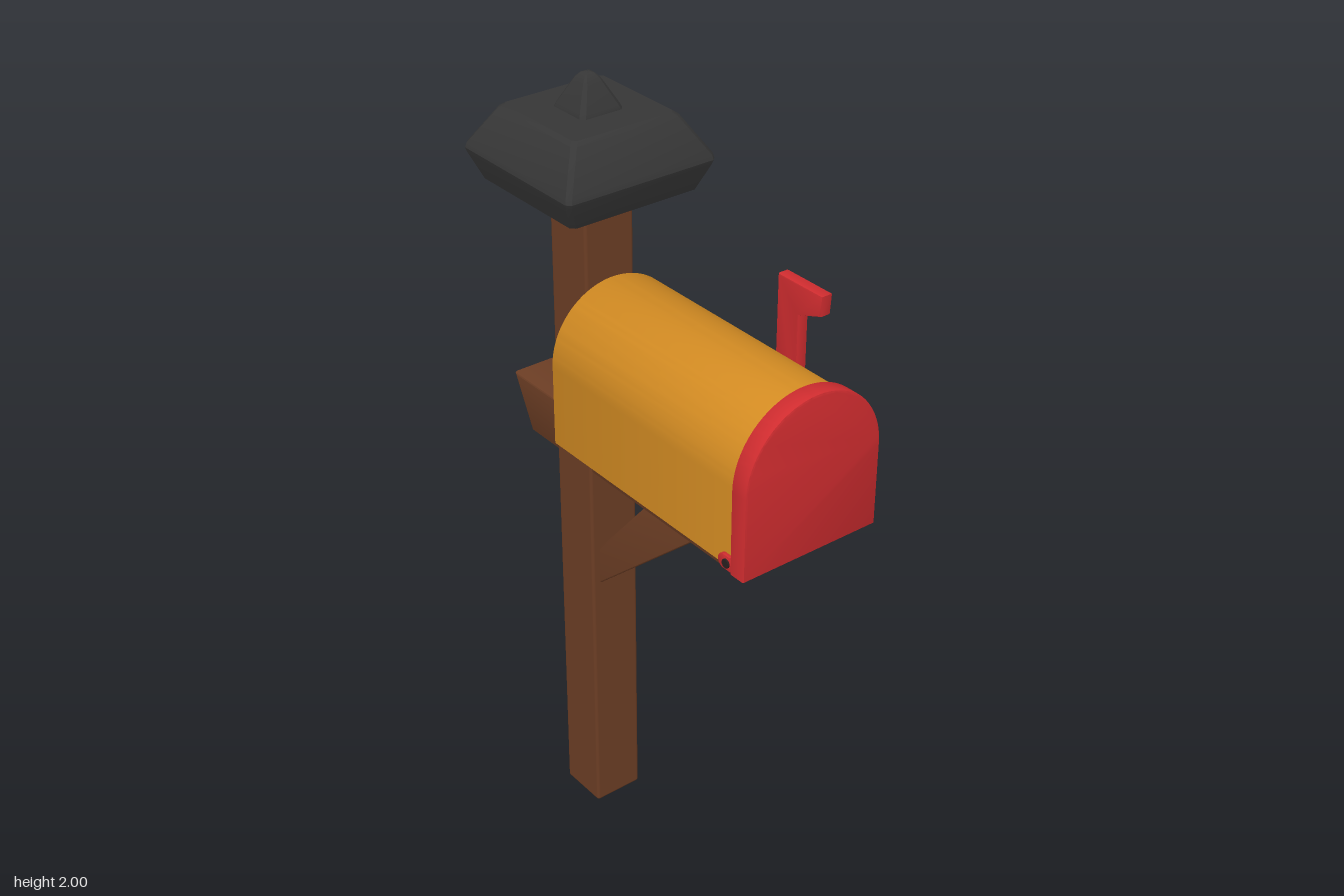
import * as THREE from 'three';
import { toCreasedNormals } from 'three/addons/utils/BufferGeometryUtils.js';
import { RoundedBoxGeometry } from 'three/addons/geometries/RoundedBoxGeometry.js';

const CX = -0.005;   // shared centre line of post and box
const POST_Z = -0.262;

function material(name, color) {
  const m = new THREE.MeshStandardMaterial({ color });
  m.name = name;
  return m;
}

// Bevelled extrusion that stays inside its outline, from z = 0 to z = depth
function slab(shape, depth, bevel) {
  const geo = new THREE.ExtrudeGeometry(shape, {
    depth: depth - 2 * bevel, bevelEnabled: true, bevelThickness: bevel,
    bevelSize: bevel, bevelOffset: -bevel, bevelSegments: 2, curveSegments: 32,
  });
  geo.translate(0, 0, bevel);
  return toCreasedNormals(geo, 0.6);
}

// Side profile given as [z, y] points, extruded across x0..x1
function sideSlab(points, x0, x1, bevel) {
  const shape = new THREE.Shape(points.map(([z, y]) => new THREE.Vector2(z, y)));
  return slab(shape, x1 - x0, bevel).rotateY(-Math.PI / 2).translate(x1, 0, 0);
}

// Round-topped outline
function archShape(r, bottom, spring) {
  const s = new THREE.Shape();
  s.moveTo(-r, bottom);
  s.lineTo(r, bottom);
  s.lineTo(r, spring);
  s.absarc(0, spring, r, 0, Math.PI, false);
  s.lineTo(-r, bottom);
  return s;
}

// Stack of squares with clipped corners; profile is [half width, y]
function squareLoft(profile) {
  const pos = [], index = [];
  for (const [h, y] of profile) {
    const k = h - Math.min(0.01, h * 0.25);
    const ring = [[h, -k], [h, k], [k, h], [-k, h], [-h, k], [-h, -k], [-k, -h], [k, -h]];
    for (const [x, z] of ring) pos.push(x, y, z);
  }
  for (let i = 0; i < profile.length - 1; i++) {
    for (let j = 0; j < 8; j++) {
      const a = i * 8 + j, b = i * 8 + (j + 1) % 8;
      index.push(a, a + 8, b, b, a + 8, b + 8);
    }
  }
  const geo = new THREE.BufferGeometry();
  geo.setAttribute('position', new THREE.Float32BufferAttribute(pos, 3));
  geo.setIndex(index);
  return toCreasedNormals(geo, 0.5);
}

export function createModel() {
  const model = new THREE.Group();
  model.name = 'mailbox';
  const wood = material('brown wood', 0x6b3d24);
  const ochre = material('ochre paint', 0xd18a22);
  const red = material('red paint', 0xcf2c2f);
  const charcoal = material('charcoal', 0x363636);
  const dark = material('dark pin', 0x2a2020);

  function add(name, geo, mat, x = 0, y = 0, z = 0) {
    const mesh = new THREE.Mesh(geo, mat);
    mesh.name = name;
    mesh.position.set(x, y, z);
    model.add(mesh);
    return mesh;
  }

  // Post, cross beam and diagonal brace
  add('post', new RoundedBoxGeometry(0.135, 1.76, 0.135, 2, 0.008), wood, CX, 0.88, POST_Z);
  add('beam', sideSlab([[0.335, 1.03], [-0.445, 1.03], [-0.512, 1.165], [0.405, 1.165]].reverse(),
    CX - 0.062, CX + 0.062, 0.006), wood);
  add('brace', sideSlab([[0.2, 1.05], [0.015, 1.05], [-0.198, 0.806], [-0.198, 0.7]].reverse()
    .map(([z, y]) => (z === 0.015 ? [0.012, 1.05] : [z, y])), CX - 0.046, CX + 0.046, 0.005), wood);

  // Post cap and finial
  add('postCap', squareLoft([
    [0.001, 1.733], [0.164, 1.733], [0.172, 1.738], [0.198, 1.8], [0.201, 1.81], [0.198, 1.822],
    [0.145, 1.908], [0.135, 1.916], [0.001, 1.918],
  ]), charcoal, CX, 0, POST_Z - 0.004);
  add('finial', squareLoft([
    [0.058, 1.9], [0.058, 1.916], [0.053, 1.928], [0.03, 1.972], [0.022, 1.986], [0.012, 1.996], [0.001, 2],
  ]), charcoal, CX, 0, POST_Z - 0.004);

  // Box body and door
  add('box', slab(archShape(0.175, 1.165, 1.365), 0.67, 0.008), ochre, CX, 0, -0.187);
  add('door', slab(archShape(0.185, 1.16, 1.365), 0.047, 0.005), red, CX, 0, 0.464);

  // Door hinges on both sides
  for (const [side, label] of [[1, 'left'], [-1, 'right']]) {
    const tab = new THREE.Shape();
    tab.moveTo(0.47, 1.162);
    tab.lineTo(0.47, 1.198);
    tab.lineTo(0.441, 1.198);
    tab.absarc(0.441, 1.18, 0.018, Math.PI / 2, Math.PI * 1.5, false);
    const geo = slab(tab, 0.012, 0.002).rotateY(-Math.PI / 2).translate(0.006, 0, 0);
    add(label + 'HingeTab', geo, red, CX + side * 0.178);
    const pin = new THREE.CylinderGeometry(0.011, 0.011, 0.012, 16).rotateZ(Math.PI / 2);
    add(label + 'HingePin', pin, dark, CX + side * 0.182, 1.18, 0.452);
  }

  // Signal flag and its pivot
  add('flag', sideSlab([
    [0.247, 1.35], [0.247, 1.562], [0.317, 1.587], [0.321, 1.637], [0.178, 1.637], [0.178, 1.35],
  ].reverse(), 0.17, 0.2, 0.004), red);
  add('flagPivot', new THREE.CylinderGeometry(0.011, 0.011, 0.02, 16).rotateZ(Math.PI / 2),
    dark, 0.195, 1.403, 0.21);

  return model;
}
